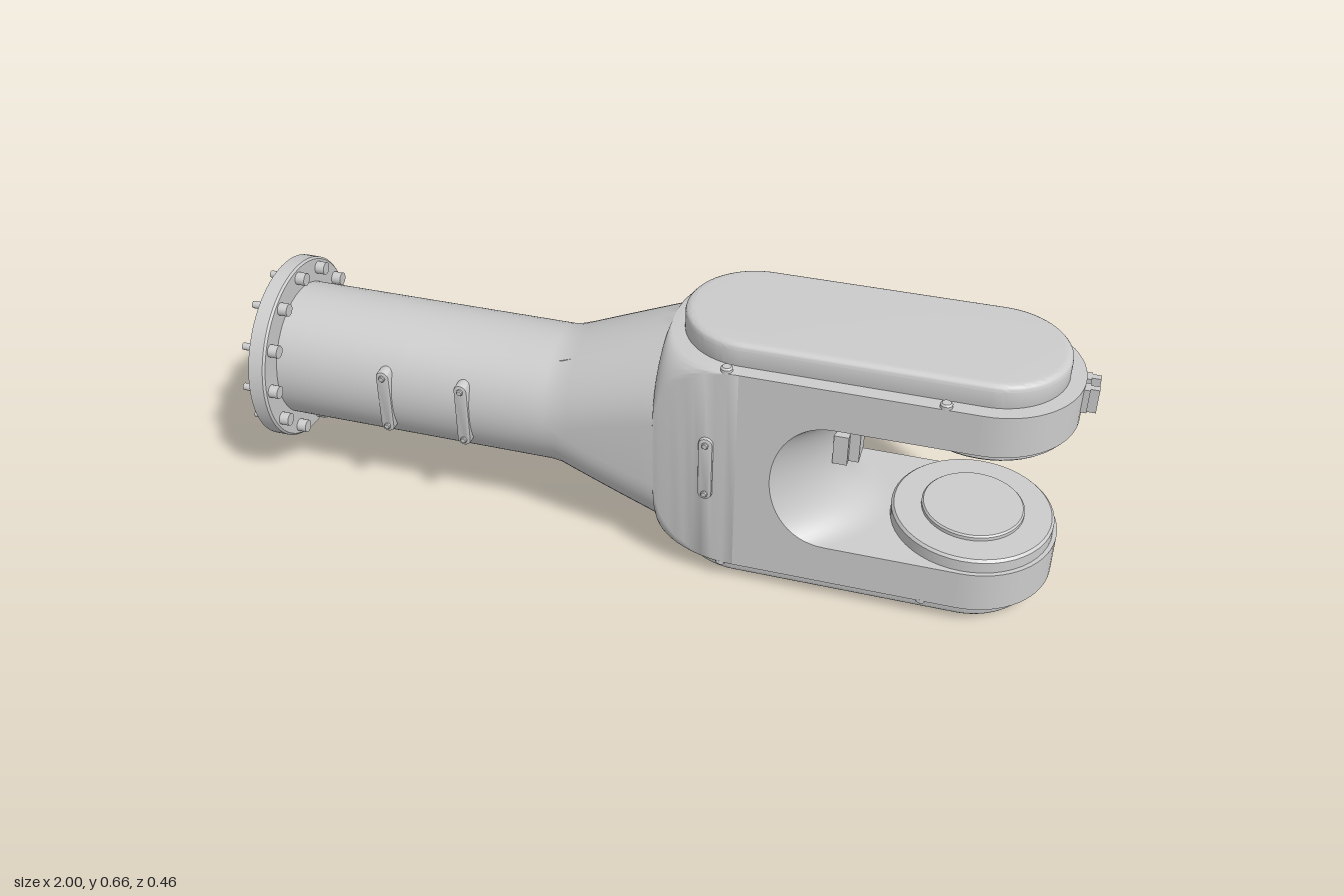
import * as THREE from 'three';
import { toCreasedNormals } from 'three/addons/utils/BufferGeometryUtils.js';

const CY = 0.33;      // height of the main axis
const PIVOT = 0.77;   // x of the joint axis
const HALF = 0.2;     // half width of the fork
const { lerp, clamp } = THREE.MathUtils;

export function createModel() {
  const root = new THREE.Group();
  const mat = new THREE.MeshStandardMaterial({ color: 0xcccccc, side: THREE.DoubleSide });

  const add = (name, geo, x = 0, y = 0, z = 0, parent = root) => {
    const mesh = new THREE.Mesh(geo, mat);
    mesh.name = name;
    mesh.position.set(x, y, z);
    parent.add(mesh);
    return mesh;
  };
  const group = (name) => {
    const g = new THREE.Group();
    g.name = name;
    root.add(g);
    return g;
  };
  // skin over closed rings that all have the same number of points
  const loft = (rings) => {
    const n = rings[0].length, index = [];
    for (let i = 0; i < rings.length - 1; i++) {
      for (let j = 0; j < n; j++) {
        const a = i * n + j, b = i * n + (j + 1) % n;
        index.push(a, b, b + n, a, b + n, a + n);
      }
    }
    const geo = new THREE.BufferGeometry().setFromPoints(rings.flat());
    geo.setIndex(index);
    return toCreasedNormals(geo, 0.6);
  };
  // solid disc with a small chamfer, axis along y, base at y = 0
  const disc = (r, h, c = 0.004, seg = 48) => toCreasedNormals(new THREE.LatheGeometry([
    [0, 0], [r, 0], [r, h - c], [r - c, h], [0, h],
  ].map(([x, y]) => new THREE.Vector2(x, y)), seg), 0.6);
  const alongX = (r, len, seg = 12) => new THREE.CylinderGeometry(r, r, len, seg).rotateZ(Math.PI / 2);
  const stadium = (x0, x1, r) => {
    const s = new THREE.Shape();
    s.absarc(x1, 0, r, -Math.PI / 2, Math.PI / 2, false);
    s.absarc(x0, 0, r, Math.PI / 2, Math.PI * 1.5, false);
    s.closePath();
    return s;
  };

  // round tube that swells into the rectangular root of the fork
  const section = (x) => {
    const t = clamp((x + 0.22) / 0.26, 0, 1);
    const w = lerp(0.168, HALF, clamp((x + 0.22) / 0.4, 0, 1));
    const h = lerp(0.168, 0.275, t);
    const flat = x > 0.04 ? Math.min(w, Math.sqrt(Math.max(0, 0.04 - (0.24 - x) ** 2))) : 0;
    const rz = w - flat, ry = x > 0.04 ? rz : lerp(0.168, w, t);
    const pts = [];
    for (let q = 0; q < 4; q++) {
      const sy = q === 0 || q === 3 ? 1 : -1, sz = q < 2 ? 1 : -1;
      for (let k = 0; k <= 12; k++) {
        const a = (q + k / 12) * Math.PI / 2;
        pts.push(new THREE.Vector3(x, CY + sy * (h - ry) + ry * Math.cos(a), sz * flat + rz * Math.sin(a)));
      }
    }
    return pts;
  };
  const stations = [-0.94, -0.6, -0.24, -0.21];
  for (let i = 1; i <= 8; i++) stations.push(lerp(-0.21, 0.04, i / 8));
  for (let i = 1; i <= 12; i++) stations.push(0.24 - 0.2 * Math.cos(i / 12 * Math.PI / 2));
  add('tubeAndNeck', loft(stations.map(section)));

  // fork: C-shaped outline swept across z, rounded arm ends and a bulging web
  const outline = (z) => {
    const right = PIVOT + Math.sqrt(Math.max(0, HALF * HALF - z * z));
    const web = 0.44 - 0.12 * (z / HALF) ** 2;
    const pts = [[0.24, 0.055], [right, 0.055], [right, 0.16]];
    for (let i = 0; i <= 28; i++) {
      const a = -Math.PI / 2 + i / 28 * Math.PI;
      pts.push([web + 0.14 * (1 - Math.cos(a) ** 0.9), CY + 0.17 * Math.sin(a)]);
    }
    pts.push([right, 0.5], [right, 0.605], [0.24, 0.605]);
    return pts.map(([x, y]) => new THREE.Vector3(x, y, z));
  };
  const fork = group('fork');
  const slices = [];
  for (let i = 0; i <= 32; i++) slices.push(outline(HALF * Math.sin((i / 32 - 0.5) * Math.PI)));
  add('forkBody', loft(slices), 0, 0, 0, fork);
  const sideShape = new THREE.Shape(outline(HALF).map((p) => new THREE.Vector2(p.x, p.y)));
  add('forkSideLeft', new THREE.ShapeGeometry(sideShape), 0, 0, HALF, fork);
  add('forkSideRight', new THREE.ShapeGeometry(sideShape).rotateY(Math.PI).scale(-1, 1, 1)
    .scale(1, 1, -1), 0, 0, -HALF, fork);

  // covers on the outside of both arms, with corner screws
  const coverGeo = toCreasedNormals(new THREE.ExtrudeGeometry(stadium(0.235, PIVOT, 0.147), {
    depth: 0.042, bevelEnabled: true, bevelThickness: 0.014, bevelSize: 0.018, bevelSegments: 4, curveSegments: 28,
  }).rotateX(-Math.PI / 2), 0.6);
  for (const s of [1, -1]) {
    const cover = group(s > 0 ? 'topCover' : 'bottomCover');
    cover.position.y = CY + s * 0.274;
    if (s < 0) cover.rotation.x = Math.PI;
    add('coverShell', coverGeo, 0, 0, 0, cover);
    for (const x of [0.21, 0.69]) {
      for (const z of [-0.187, 0.187]) add('coverScrew', disc(0.014, 0.014, 0.004, 14), x, -0.002, z, cover);
    }
  }

  // bearing seats facing each other inside the fork
  const lower = group('lowerBearing');
  add('seat', disc(0.19, 0.04, 0.006), PIVOT, 0.155, 0, lower);
  add('plate', disc(0.12, 0.02), PIVOT, 0.188, 0, lower);
  const upper = group('upperBearing');
  add('seat', disc(0.19, 0.027, 0.006).rotateX(Math.PI), PIVOT, 0.507, 0, upper);
  add('plate', disc(0.12, 0.02).rotateX(Math.PI), PIVOT, 0.49, 0, upper);
  for (let i = 0; i < 8; i++) {
    const a = i / 8 * Math.PI * 2;
    add('pin', new THREE.CylinderGeometry(0.006, 0.006, 0.035, 10),
      PIVOT + 0.108 * Math.cos(a), 0.4625, 0.108 * Math.sin(a), upper);
  }

  // end flange with a ring of bolts
  const flange = group('endFlange');
  add('flangeDisc', disc(0.23, 0.042, 0.005, 64).rotateZ(-Math.PI / 2), -0.97, CY, 0, flange);
  for (let i = 0; i < 12; i++) {
    const a = i / 12 * Math.PI * 2, y = CY + 0.203 * Math.cos(a), z = 0.203 * Math.sin(a);
    add('boltHead', alongX(0.016, 0.025, 16), -0.917, y, z, flange);
    add('boltEnd', alongX(0.009, 0.04), -0.98, y, z, flange);
  }

  // upright strap plates on the front side
  const strapGeo = toCreasedNormals(new THREE.ExtrudeGeometry(stadium(-0.07, 0.07, 0.013), {
    depth: 0.05, bevelThickness: 0.004, bevelSize: 0.004, bevelSegments: 2, curveSegments: 10,
  }).rotateZ(Math.PI / 2), 0.6);
  for (const [x, z] of [[-0.64, 0.118], [-0.44, 0.118], [0.17, 0.154]]) {
    const strap = group('strapPlate');
    strap.position.set(x, CY + 0.003, z);
    add('strap', strapGeo, 0, 0, 0, strap);
    for (const y of [-0.07, 0.07]) add('strapScrew', disc(0.008, 0.008, 0.002, 12).rotateX(Math.PI / 2), 0, y, 0.052, strap);
  }

  // block on the web between the arms
  add('sensorBlock', new THREE.BoxGeometry(0.07, 0.08, 0.066), 0.462, CY + 0.004, 0);
  for (const s of [-1, 1]) {
    add('sensorEar', new THREE.BoxGeometry(0.035, 0.08, 0.02), 0.455, CY + 0.004, s * 0.042);
    // ribs at the neck
    for (const v of [-1, 1]) {
      if (v < 0 && s < 0) continue;
      const rib = add('neckRib', new THREE.BoxGeometry(0.07, 0.02, 0.008), -0.185, CY + v * 0.15, s * 0.08);
      rib.rotation.z = v * 0.35;
    }
    // clips on the tip of the upper arm
    const clip = group('tipClip');
    clip.position.set(0.98, 0.57, s * 0.022);
    add('clipBar', new THREE.BoxGeometry(0.04, 0.06, 0.016), 0, 0, 0, clip);
    add('clipBase', new THREE.BoxGeometry(0.02, 0.06, 0.028), -0.01, 0, 0, clip);
  }
  return root;
}
